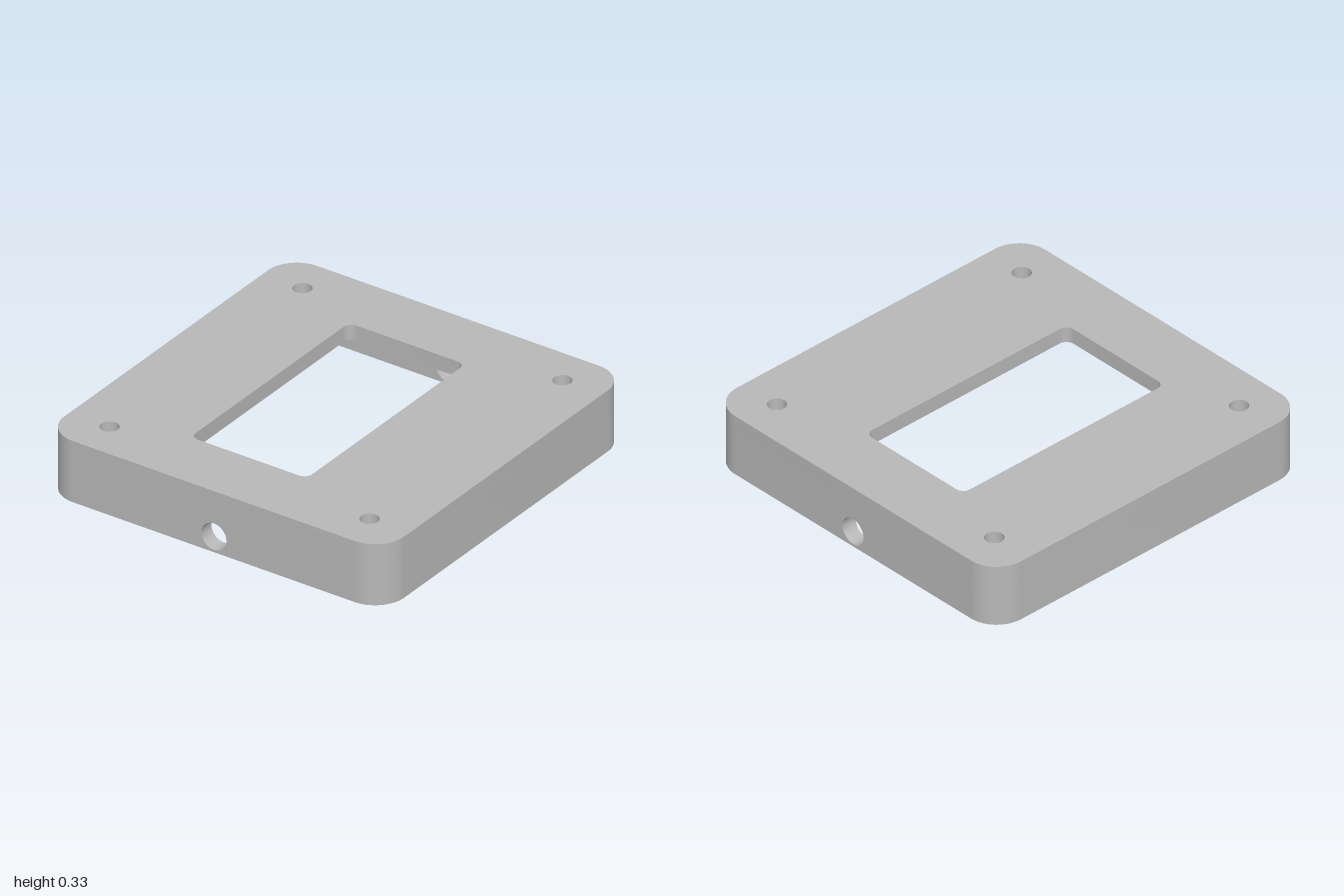
import * as THREE from 'three';
import { toCreasedNormals } from 'three/addons/utils/BufferGeometryUtils.js';

const HX = 1, HZ = 0.977, H = 0.333; // half width, half depth, height
const R = 0.167, WALL = 0.083, ROOF = 0.083;
const IN = H - ROOF; // cavity height
const FLAT = HZ - R; // half length of the straight side walls

function roundedRect(path, x0, y0, x1, y1, r) {
  path.moveTo(x0 + r, y0);
  path.lineTo(x1 - r, y0);
  path.absarc(x1 - r, y0 + r, r, -Math.PI / 2, 0, false);
  path.lineTo(x1, y1 - r);
  path.absarc(x1 - r, y1 - r, r, 0, Math.PI / 2, false);
  path.lineTo(x0 + r, y1);
  path.absarc(x0 + r, y1 - r, r, Math.PI / 2, Math.PI, false);
  path.lineTo(x0, y0 + r);
  path.absarc(x0 + r, y0 + r, r, Math.PI, Math.PI * 1.5, false);
  return path;
}

function circle(x, y, r) {
  const p = new THREE.Path();
  p.absarc(x, y, r, 0, Math.PI * 2, true);
  return p;
}

function extrude(shape, depth) {
  const g = new THREE.ExtrudeGeometry(shape, { depth, bevelEnabled: false, curveSegments: 20 });
  return toCreasedNormals(g, 0.5);
}

export function createModel() {
  const group = new THREE.Group();
  const grey = new THREE.MeshStandardMaterial({ color: 0xb8b8b8 });
  grey.name = 'plain grey';
  const add = (name, geometry) => {
    const mesh = new THREE.Mesh(geometry, grey);
    mesh.name = name;
    group.add(mesh);
  };

  // Top plate with the display window and four screw holes (shape y becomes -z)
  const plate = roundedRect(new THREE.Shape(), -HX, -HZ, HX, HZ, R);
  plate.holes.push(roundedRect(new THREE.Path(), -0.65, -0.288, 0.65, 0.382, 0.045));
  for (const x of [-0.79, 0.79]) {
    for (const y of [-0.748, 0.748]) plate.holes.push(circle(x, y, 0.048));
  }
  add('topPlate', extrude(plate, ROOF).rotateX(-Math.PI / 2).translate(0, IN, 0));

  // Front and back walls, each wrapping round two corners
  const end = new THREE.Shape();
  const cx = HX - R, ri = R - WALL;
  end.moveTo(HX, FLAT);
  end.absarc(cx, FLAT, R, 0, Math.PI / 2, false);
  end.lineTo(-cx, HZ);
  end.absarc(-cx, FLAT, R, Math.PI / 2, Math.PI, false);
  end.lineTo(-cx - ri, FLAT);
  end.absarc(-cx, FLAT, ri, Math.PI, Math.PI / 2, true);
  end.lineTo(cx, HZ - WALL);
  end.absarc(cx, FLAT, ri, Math.PI / 2, 0, true);
  end.closePath();
  add('backWall', extrude(end, IN).rotateX(-Math.PI / 2));
  add('frontWall', extrude(end, IN).rotateX(-Math.PI / 2).rotateY(Math.PI));

  // Side walls, each with a round cable hole
  const side = new THREE.Shape();
  side.moveTo(-FLAT, 0);
  side.lineTo(FLAT, 0);
  side.lineTo(FLAT, IN);
  side.lineTo(-FLAT, IN);
  side.closePath();
  side.holes.push(circle(0, 0.085, 0.072));
  for (const [name, x] of [['leftWall', HX - WALL], ['rightWall', -HX]]) {
    add(name, extrude(side, WALL).rotateY(Math.PI / 2).translate(x, 0, 0));
  }
  return group;
}
